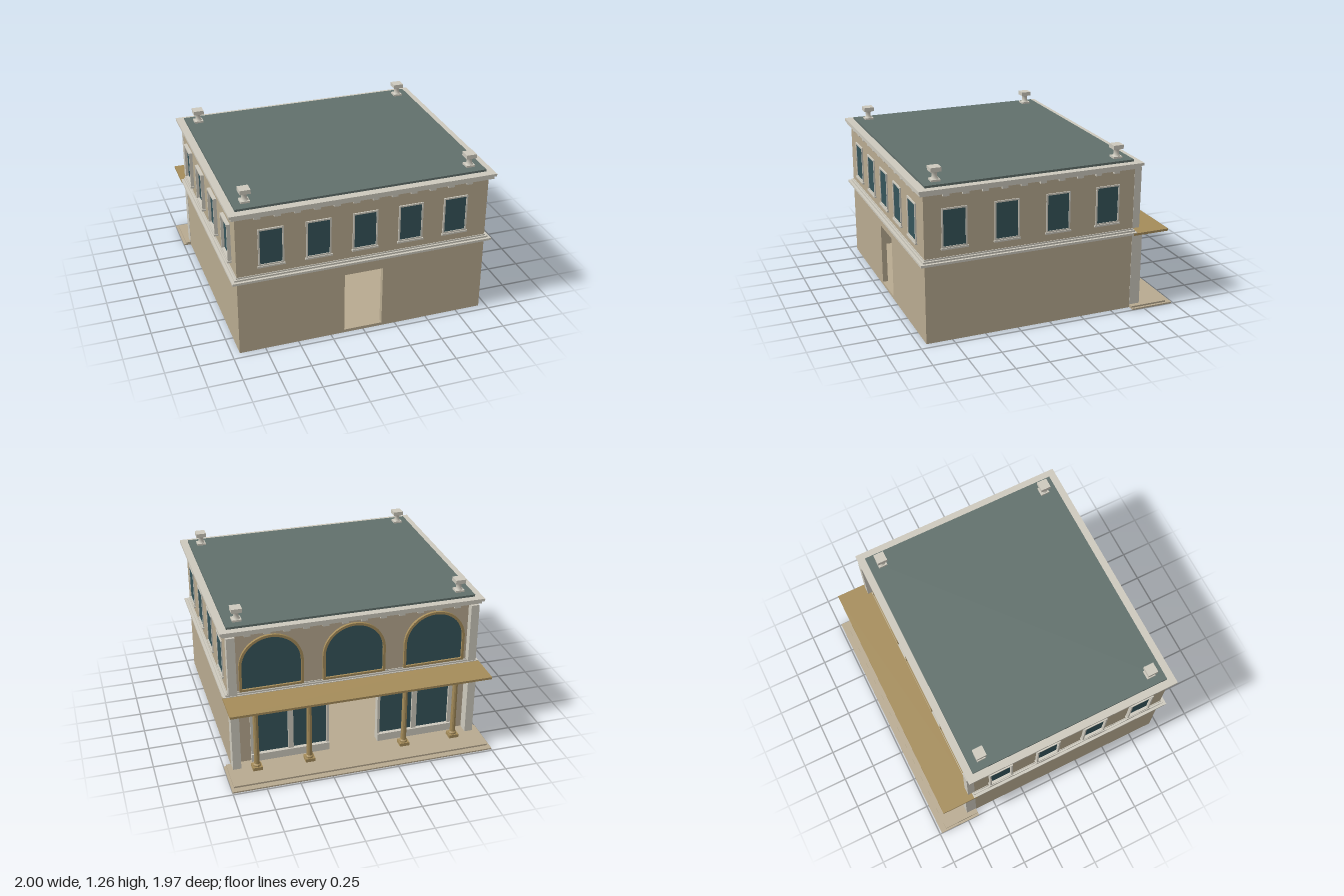
import * as THREE from 'three';

const mat = (name, color) => {
  const m = new THREE.MeshStandardMaterial({ color });
  m.name = name;
  return m;
};

export function createModel() {
  const root = new THREE.Group();
  root.name = 'building';
  const stone = mat('tan stone', 0xb8aa90);
  const trim = mat('pale trim', 0xcdc9bd);
  const slate = mat('slate green', 0x61706c);
  const glass = mat('dark teal glass', 0x35545a);
  const gold = mat('ochre metal', 0xa58c5a);

  const add = (name, geo, m, parent = root) => {
    const mesh = new THREE.Mesh(geo, m);
    mesh.name = name;
    parent.add(mesh);
    return mesh;
  };
  // Box given by its lower and upper limits on each axis
  const box = (name, m, x0, x1, y0, y1, z0, z1, parent = root) => {
    const b = add(name, new THREE.BoxGeometry(x1 - x0, y1 - y0, z1 - z0), m, parent);
    b.position.set((x0 + x1) / 2, (y0 + y1) / 2, (z0 + z1) / 2);
    return b;
  };
  const rect = (x0, x1, y0, y1, T = THREE.Shape) => {
    const s = new T();
    s.moveTo(x0, y0).lineTo(x1, y0).lineTo(x1, y1).lineTo(x0, y1).closePath();
    return s;
  };
  const extrude = (shape, depth) =>
    new THREE.ExtrudeGeometry(shape, { depth, bevelEnabled: false, curveSegments: 20 });

  const W = 0.943, F = 0.945, B = -0.655;

  // Ground floor: hollow, with a doorway in the front wall
  box('floor', stone, -W, W, 0, 0.023, B, F - 0.04);
  const frontShape = rect(-W, W, 0, 0.6);
  frontShape.holes.push(rect(-0.148, 0.146, 0.023, 0.498, THREE.Path));
  add('frontWall', extrude(frontShape, 0.04), stone).position.z = F - 0.04;
  for (const s of [-1, 1])
    box('sideWall', stone, s < 0 ? -W : W - 0.04, s < 0 ? -W + 0.04 : W, 0.023, 0.6, B, F - 0.04);

  // Upper floor
  box('upperWalls', stone, -W, W, 0.6, 1.105, B, F);

  // Belt course
  box('beltLedge', trim, -0.982, 0.982, 0.597, 0.614, B - 0.02, 0.982);
  box('beltBand', trim, -0.962, 0.962, 0.614, 0.627, B - 0.012, 0.962);
  box('beltFillet', trim, -0.948, 0.948, 0.627, 0.638, B - 0.005, 0.95);

  // Cornice and roof
  box('corniceLower', trim, -0.972, 0.972, 1.103, 1.126, B - 0.033, 0.974);
  box('corniceUpper', trim, -0.987, 0.987, 1.126, 1.146, -0.705, 0.985);
  box('roof', slate, -0.93, 0.93, 1.146, 1.162, -0.65, 0.925);

  // Small brackets under the cornice on all four sides
  for (let i = 0; i < 12; i++) {
    const x = -0.787 + i * 0.1431;
    box('bracket', trim, x - 0.023, x + 0.023, 1.083, 1.103, F, F + 0.02);
    box('bracket', trim, x - 0.023, x + 0.023, 1.083, 1.103, B - 0.022, B);
  }
  for (let i = 0; i < 10; i++) {
    const z = -0.5 + i * 0.143;
    for (const s of [-1, 1])
      box('bracket', trim, s * (W + 0.01) - 0.01, s * (W + 0.01) + 0.01, 1.083, 1.103, z - 0.023, z + 0.023);
  }

  // Framed sash window facing +z, centred on its own origin
  const makeWindow = (proud) => {
    const g = new THREE.Group();
    g.name = 'window';
    const frame = rect(-0.093, 0.093, 0.705, 0.994);
    frame.holes.push(rect(-0.081, 0.081, 0.717, 0.982, THREE.Path));
    add('windowFrame', extrude(frame, proud), trim, g);
    box('windowGlass', glass, -0.082, 0.082, 0.716, 0.983, 0, 0.004, g);
    box('windowSill', trim, -0.1, 0.1, 0.693, 0.706, 0, proud + 0.006, g);
    root.add(g);
    return g;
  };
  for (let i = -2; i <= 2; i++) makeWindow(0.01).position.set(i * 0.346, 0, F);
  for (const z of [0.726, 0.338, -0.051, -0.44]) {
    const a = makeWindow(0.008);
    a.position.set(W, 0, z);
    a.rotation.y = Math.PI / 2;
    const b = makeWindow(0.026);
    b.position.set(-W, 0, z);
    b.rotation.y = -Math.PI / 2;
  }

  // Three arched windows across the back
  const arch = (r, y0, T = THREE.Shape) => {
    const s = new T();
    s.moveTo(-r, y0).lineTo(r, y0).lineTo(r, 0.835);
    s.absarc(0, 0.835, r, 0, Math.PI, false);
    s.closePath();
    return s;
  };
  for (const x of [-0.62, 0, 0.62]) {
    const ring = arch(0.238, 0.64);
    ring.holes.push(arch(0.219, 0.655, THREE.Path));
    add('archFrame', extrude(ring, 0.02), gold).position.set(x, 0, B - 0.02);
    add('archGlass', extrude(arch(0.221, 0.653), 0.005), glass).position.set(x, 0, B - 0.005);
  }

  // Back porch steps and canopy
  box('porchStep', stone, -1, 1, 0, 0.011, -0.985, B);
  box('porchFloor', stone, -0.982, 0.982, 0.011, 0.024, -0.94, B);
  box('canopy', gold, -0.984, 0.984, 0.592, 0.609, -0.932, -0.648);

  // Shopfront: corner pilasters, fascia, glazing in pairs around an open middle
  box('fascia', slate, -0.885, 0.885, 0.472, 0.592, B - 0.015, -0.6);
  for (const s of [-1, 1]) {
    const side = (name, m, a, b, y0, y1, z0, z1) =>
      box(name, m, s < 0 ? -b : a, s < 0 ? -a : b, y0, y1, z0, z1);
    side('upperPilaster', trim, 0.883, W + 0.002, 0.638, 1.103, -0.708, B + 0.002);
    side('lowerPilaster', trim, 0.883, W + 0.002, 0.024, 0.592, -0.735, B + 0.002);
    side('shopBulkhead', trim, 0.19, 0.79, 0.024, 0.085, -0.675, -0.61);
    side('shopEndPanel', stone, 0.775, 0.885, 0.024, 0.472, -0.65, -0.61);
    for (const [a, b] of [[0.19, 0.21], [0.465, 0.505], [0.76, 0.79]])
      side('shopMullion', trim, a, b, 0.085, 0.472, -0.662, -0.61);
    side('shopGlass', glass, 0.21, 0.465, 0.085, 0.472, -0.645, -0.637);
    side('shopGlass', glass, 0.505, 0.76, 0.085, 0.472, -0.645, -0.637);
  }

  // Canopy columns
  for (const x of [-0.77, -0.37, 0.37, 0.77]) {
    const z = -0.758;
    box('columnBase', gold, x - 0.037, x + 0.037, 0.024, 0.05, z - 0.037, z + 0.037);
    const profile = [[0.03, 0.05], [0.03, 0.062], [0.021, 0.07], [0.019, 0.55], [0.027, 0.565], [0.03, 0.578]];
    const shaft = new THREE.LatheGeometry(profile.map((p) => new THREE.Vector2(...p)), 10).toNonIndexed();
    shaft.computeVertexNormals();
    add('columnShaft', shaft, gold).position.set(x, 0, z);
    box('columnCapital', gold, x - 0.036, x + 0.036, 0.576, 0.593, z - 0.036, z + 0.036);
  }

  // Roof pedestals
  for (const x of [-0.838, 0.838]) for (const z of [-0.552, 0.826]) {
    box('pedestalFoot', trim, x - 0.034, x + 0.034, 1.162, 1.176, z - 0.034, z + 0.034);
    const neck = [[0.03, 1.176], [0.02, 1.19], [0.02, 1.215], [0.029, 1.233]];
    const geo = new THREE.LatheGeometry(neck.map((p) => new THREE.Vector2(...p)), 12);
    add('pedestalNeck', geo, trim).position.set(x, 0, z);
    box('pedestalCap', trim, x - 0.039, x + 0.039, 1.232, 1.263, z - 0.039, z + 0.039);
  }
  return root;
}
